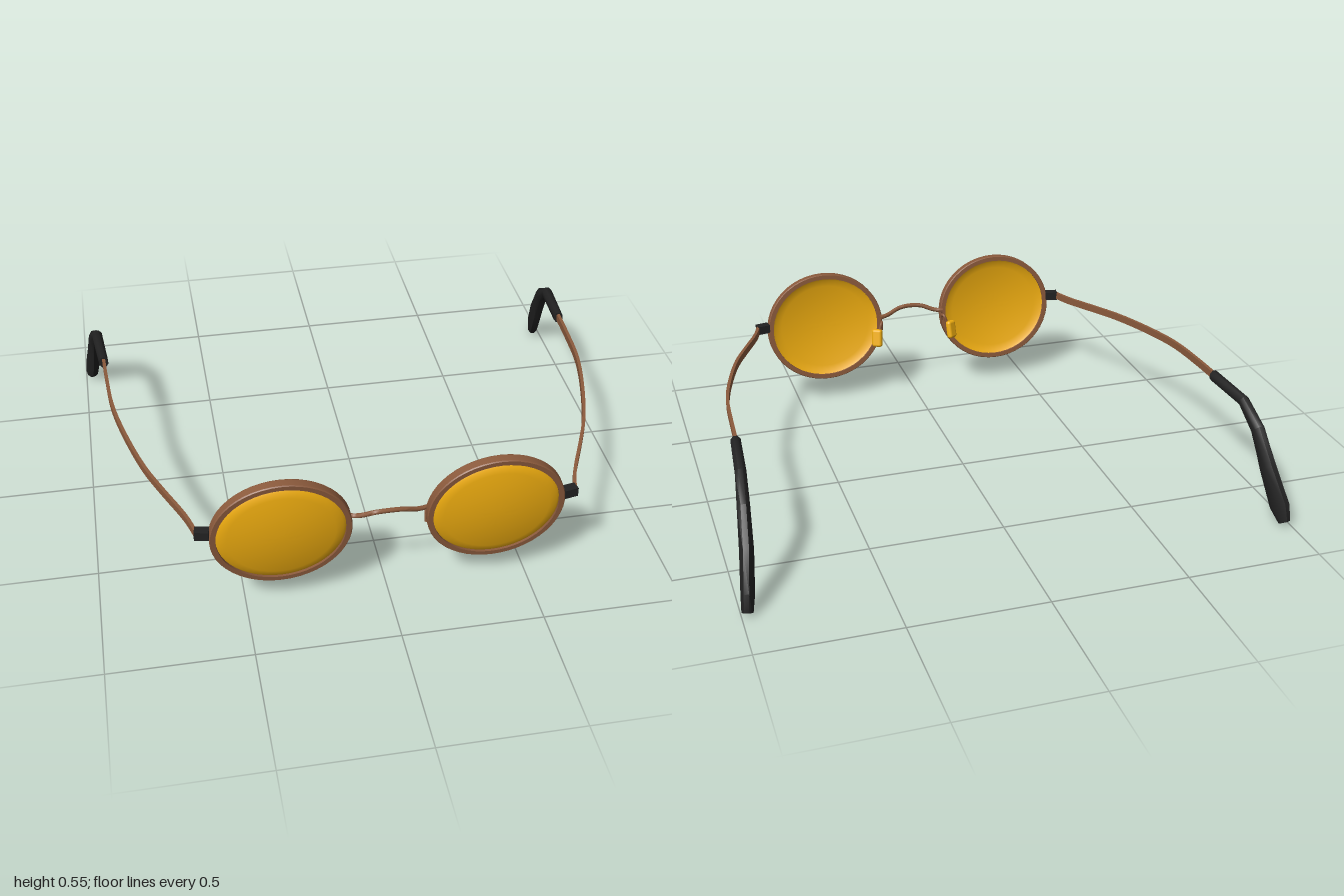
import * as THREE from 'three';
import { toCreasedNormals } from 'three/addons/utils/BufferGeometryUtils.js';
import { RoundedBoxGeometry } from 'three/addons/geometries/RoundedBoxGeometry.js';

const copper = new THREE.MeshStandardMaterial({ color: 0x8b5a3c });
const amber = new THREE.MeshStandardMaterial({ color: 0xf0ae10 });
const black = new THREE.MeshStandardMaterial({ color: 0x222222 });

function mesh(name, geometry, material, parent) {
  const m = new THREE.Mesh(geometry, material);
  m.name = name;
  parent.add(m);
  return m;
}

// Sweep a section along rows of [x, y, z, halfWidth, halfHeight], capped at both ends
function sweep(rows, sides, crease) {
  const pts = rows.map(r => new THREE.Vector3(r[0], r[1], r[2]));
  const pos = [], idx = [], n = rows.length;
  const up = new THREE.Vector3(0, 1, 0);
  const grow = sides === 4 ? Math.SQRT2 : 1;
  rows.forEach((r, i) => {
    const t = pts[Math.min(i + 1, n - 1)].clone().sub(pts[Math.max(i - 1, 0)]).normalize();
    const s = up.clone().cross(t).normalize();
    const u = t.clone().cross(s);
    for (let j = 0; j < sides; j++) {
      const a = (j + 0.5) / sides * Math.PI * 2;
      const p = pts[i].clone()
        .addScaledVector(s, Math.cos(a) * r[3] * grow)
        .addScaledVector(u, Math.sin(a) * r[4] * grow);
      pos.push(p.x, p.y, p.z);
    }
  });
  for (let i = 0; i < n - 1; i++) {
    for (let j = 0; j < sides; j++) {
      const a = i * sides + j, b = i * sides + (j + 1) % sides;
      idx.push(a, b, a + sides, b, b + sides, a + sides);
    }
  }
  const last = (n - 1) * sides;
  for (let j = 1; j < sides - 1; j++) {
    idx.push(0, j + 1, j, last, last + j, last + j + 1);
  }
  const g = new THREE.BufferGeometry();
  g.setAttribute('position', new THREE.Float32BufferAttribute(pos, 3));
  g.setIndex(idx);
  return toCreasedNormals(g, crease);
}

// Revolve a closed profile of [radius, depth] around the z axis
function ring(profile) {
  const g = new THREE.LatheGeometry(profile.map(p => new THREE.Vector2(p[0], p[1])), 48);
  g.rotateX(Math.PI / 2);
  return toCreasedNormals(g, 0.6);
}

function smoothPath(points, count) {
  return new THREE.CatmullRomCurve3(points.map(p => new THREE.Vector3(...p))).getPoints(count);
}

// Rim and domed lens, leaning forward at the top
function addEye(parent, s) {
  const eye = new THREE.Group();
  eye.name = s > 0 ? 'leftEye' : 'rightEye';
  eye.position.set(s * 0.372, 0.328, 0.763);
  eye.rotation.x = 0.11;
  eye.scale.y = 0.935;
  parent.add(eye);
  mesh('rim', ring([[0.222, -0.018], [0.24, -0.018], [0.243, -0.014], [0.243, 0.014],
    [0.24, 0.018], [0.222, 0.018], [0.222, -0.018]]), copper, eye);
  const front = [], back = [];
  for (let i = 0; i <= 8; i++) {
    const r = 0.212 * i / 8, dome = 0.024 * (1 - (i / 8) ** 2);
    front.unshift([r, 0.017 + dome]);
    back.push([r, -0.003 + dome]);
  }
  mesh('lens', ring([...back, [0.225, -0.012], [0.225, 0.006], ...front]), amber, eye);
}

// Nose pad on a small hooked wire
function addNosePad(parent, s) {
  const wire = smoothPath([[s * 0.133, 0.285, 0.75], [s * 0.133, 0.325, 0.74],
    [s * 0.138, 0.328, 0.724], [s * 0.148, 0.30, 0.718], [s * 0.158, 0.275, 0.71]], 16);
  mesh('nosePadWire', new THREE.TubeGeometry(new THREE.CatmullRomCurve3(wire), 20, 0.006, 8),
    copper, parent);
  const pad = mesh('nosePad', new RoundedBoxGeometry(0.026, 0.075, 0.044, 3, 0.011), amber, parent);
  pad.position.set(s * 0.163, 0.272, 0.703);
  pad.rotation.set(0.12, s * 0.95, s * 0.12);
}

// Hinge, flat curved temple arm and bent ear tip
function addTemple(parent, s) {
  const hinge = mesh('hinge', new THREE.BoxGeometry(0.05, 0.034, 0.034), black, parent);
  hinge.position.set(s * 0.636, 0.352, 0.758);
  hinge.rotation.y = s * 0.2;
  const arm = smoothPath([[s * 0.653, 0.352, 0.762], [s * 0.682, 0.356, 0.67],
    [s * 0.745, 0.364, 0.53], [s * 0.80, 0.372, 0.40], [s * 0.858, 0.383, 0.20],
    [s * 0.892, 0.39, 0.03], [s * 0.905, 0.392, -0.15], [s * 0.912, 0.39, -0.30]], 28);
  mesh('templeArm', sweep(arm.map(p => [p.x, p.y, p.z, 0.006, 0.014]), 4, 0.6), copper, parent);
  mesh('earTip', sweep([
    [s * 0.912, 0.389, -0.28, 0.019, 0.023],
    [s * 0.93, 0.379, -0.495, 0.021, 0.022],
    [s * 0.942, 0.309, -0.595, 0.024, 0.031],
    [s * 0.953, 0.19, -0.676, 0.026, 0.042],
    [s * 0.97, 0.07, -0.755, 0.024, 0.049],
    [s * 0.979, 0.018, -0.783, 0.02, 0.026],
  ], 8, 0.9), black, parent);
}

export function createModel() {
  const glasses = new THREE.Group();
  glasses.name = 'roundGlasses';
  for (const s of [1, -1]) {
    addEye(glasses, s);
    addNosePad(glasses, s);
    addTemple(glasses, s);
  }
  // Arched bridge between the rims
  const arch = smoothPath([[-0.138, 0.345, 0.745], [-0.10, 0.35, 0.757], [-0.05, 0.368, 0.771],
    [0, 0.373, 0.775], [0.05, 0.368, 0.771], [0.10, 0.35, 0.757], [0.138, 0.345, 0.745]], 24);
  mesh('bridge', sweep(arch.map(p => [p.x, p.y, p.z, 0.008, 0.009]), 8, 1), copper, glasses);
  return glasses;
}
